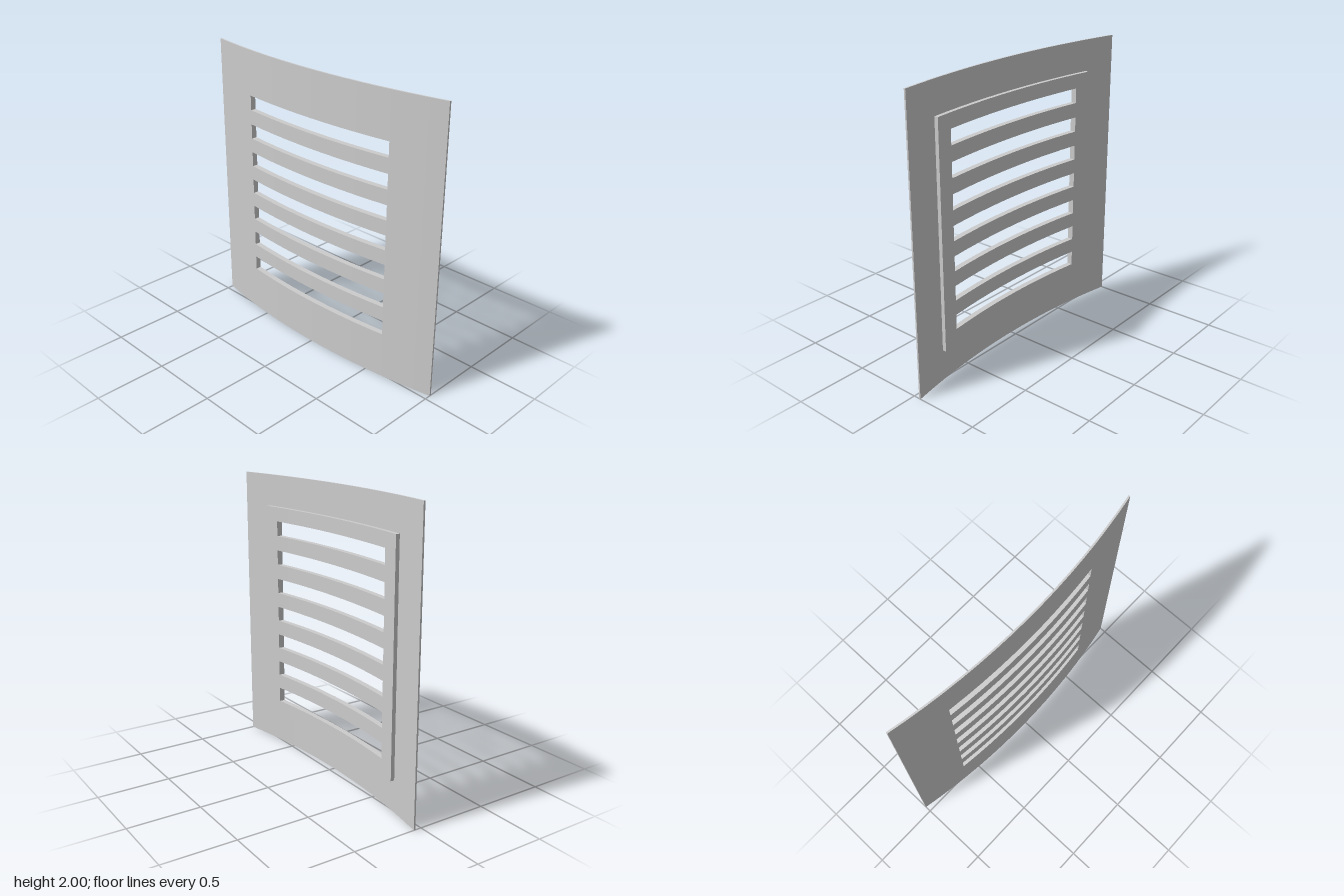
import * as THREE from 'three';

const RADIUS = 5.2;          // curvature of the panel
const FRONT = 0.053;         // z of the front face on the centre line
const STEP = 0.125;          // facet width
const SLOT = { count: 7, halfWidth: 0.625, bottom: 0.328, height: 0.104, pitch: 0.208 };

const bend = (x) => FRONT - RADIUS + Math.sqrt(RADIUS * RADIUS - x * x);

// Curved sheet with horizontal slots, between two depths behind the front face
function slottedSheet(halfWidth, yMin, yMax, d0, d1) {
  const xs = [-halfWidth];
  for (let x = -1; x < 1; x += STEP) if (Math.abs(x) < halfWidth) xs.push(x);
  xs.push(halfWidth);

  const ys = [yMin];
  for (let i = 0; i < SLOT.count; i++) {
    const y = SLOT.bottom + i * SLOT.pitch;
    ys.push(y, y + SLOT.height);
  }
  ys.push(yMax);

  const solid = (i, j) => {
    if (i < 0 || j < 0 || i >= xs.length - 1 || j >= ys.length - 1) return false;
    return j % 2 === 0 || Math.abs(xs[i] + xs[i + 1]) / 2 > SLOT.halfWidth;
  };

  const positions = [];
  const quad = (...corners) => {
    for (const k of [0, 1, 2, 0, 2, 3]) {
      const [x, y, d] = corners[k];
      positions.push(x, y, bend(x) - d);
    }
  };

  for (let i = 0; i < xs.length - 1; i++) {
    for (let j = 0; j < ys.length - 1; j++) {
      if (!solid(i, j)) continue;
      const [a, b, c, e] = [xs[i], xs[i + 1], ys[j], ys[j + 1]];
      quad([a, c, d0], [b, c, d0], [b, e, d0], [a, e, d0]); // front
      quad([b, c, d1], [a, c, d1], [a, e, d1], [b, e, d1]); // back
      // walls along outer edges and slots
      if (!solid(i + 1, j)) quad([b, c, d0], [b, c, d1], [b, e, d1], [b, e, d0]);
      if (!solid(i - 1, j)) quad([a, c, d1], [a, c, d0], [a, e, d0], [a, e, d1]);
      if (!solid(i, j + 1)) quad([a, e, d0], [b, e, d0], [b, e, d1], [a, e, d1]);
      if (!solid(i, j - 1)) quad([a, c, d1], [b, c, d1], [b, c, d0], [a, c, d0]);
    }
  }

  const geometry = new THREE.BufferGeometry();
  geometry.setAttribute('position', new THREE.Float32BufferAttribute(positions, 3));
  geometry.computeVertexNormals();
  return geometry;
}

export function createModel() {
  const group = new THREE.Group();
  group.name = 'curvedVentPanel';
  const material = new THREE.MeshStandardMaterial({ color: 0xcccccc, flatShading: true });
  const add = (name, geometry) => {
    const mesh = new THREE.Mesh(geometry, material);
    mesh.name = name;
    group.add(mesh);
  };

  // Thin outer plate and the thicker raised panel behind it
  add('facePlate', slottedSheet(1, 0, 2, 0, 0.012));
  add('backPanel', slottedSheet(0.745, 0.22, 1.78, 0.012, 0.04));
  return group;
}
